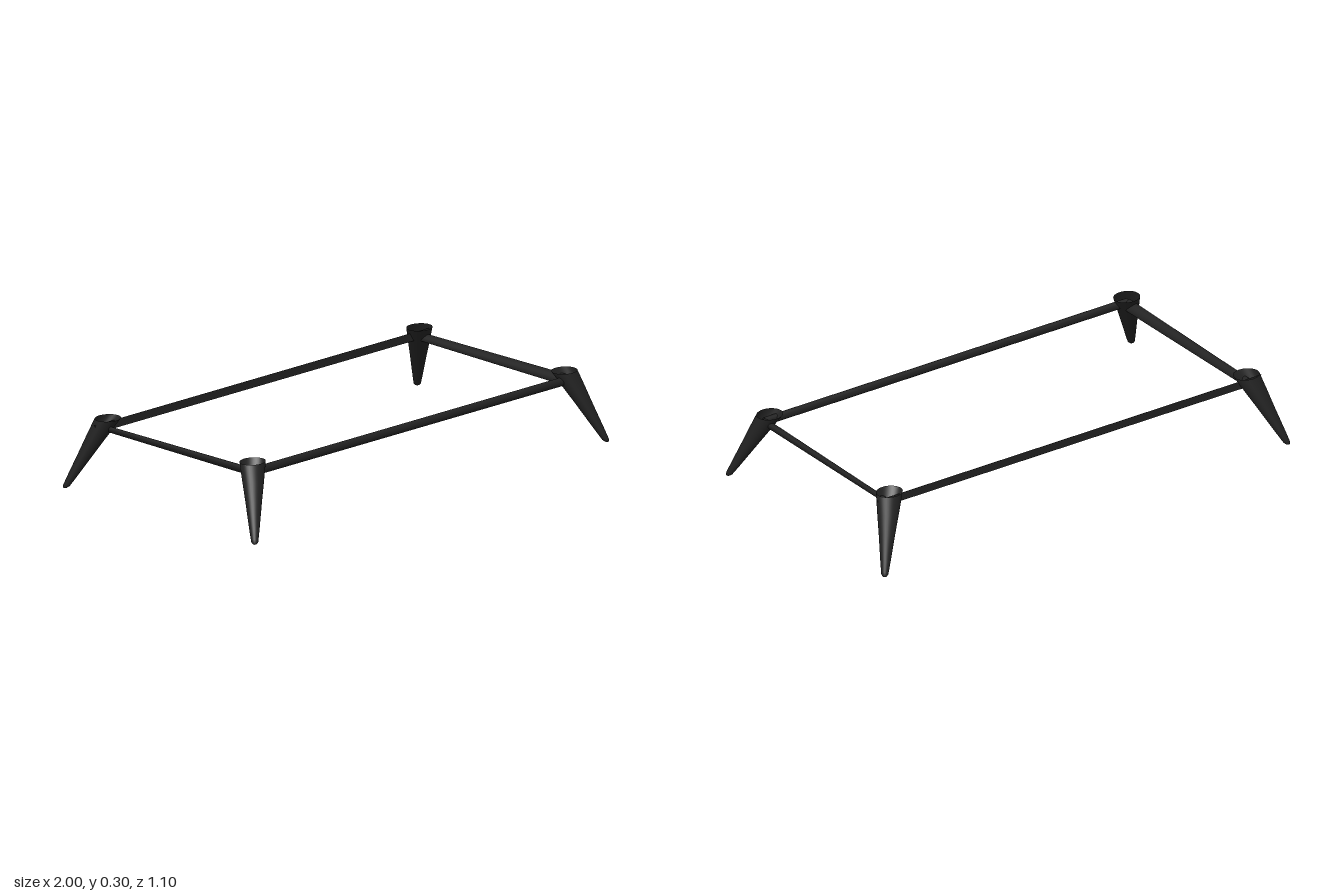
import * as THREE from 'three';
import { mergeVertices } from 'three/addons/utils/BufferGeometryUtils.js';

const dark = new THREE.MeshStandardMaterial({ color: 0x222222, side: THREE.DoubleSide });

// Hollow tapered leg: a round-footed lathe, sheared outwards so its rim stays level
function makeLeg(sx, sz) {
  const profile = [
    [0, 0.003], [0.008, 0.006], [0.014, 0.013], [0.016, 0.025], [0.021, 0.06],
    [0.034, 0.16], [0.044, 0.23], [0.053, 0.3],
  ].map(([r, y]) => new THREE.Vector2(r, y));
  let geo = new THREE.LatheGeometry(profile, 32);
  geo.deleteAttribute('uv');
  geo.deleteAttribute('normal');
  geo = mergeVertices(geo);
  const p = geo.attributes.position;
  for (let i = 0; i < p.count; i++) {
    const t = (p.getY(i) - 0.02) / 0.28;
    p.setX(i, p.getX(i) * (1 + 0.06 * t) + sx * THREE.MathUtils.lerp(0.984, 0.876, t));
    p.setZ(i, p.getZ(i) * (1 - 0.08 * t) + sz * THREE.MathUtils.lerp(0.533, 0.412, t));
  }
  geo.computeVertexNormals();
  return new THREE.Mesh(geo, dark);
}

export function createModel() {
  const model = new THREE.Group();
  const add = (name, mesh) => {
    mesh.name = name;
    model.add(mesh);
    return mesh;
  };

  // Four splayed legs
  for (const sx of [-1, 1])
    for (const sz of [-1, 1])
      add((sz > 0 ? 'front' : 'back') + (sx > 0 ? 'Left' : 'Right') + 'Leg', makeLeg(sx, sz));

  // Side rails: flattened rods, tilted and thinner towards the back
  for (const sx of [-1, 1]) {
    const geo = new THREE.CylinderGeometry(1.15, 0.85, 0.85, 24);
    geo.scale(0.021, 1, 0.0125);
    geo.rotateX(Math.PI / 2);
    geo.rotateZ(sx * Math.PI / 4);
    geo.translate(sx * 0.885, 0.258, 0.002);
    add(sx > 0 ? 'leftRail' : 'rightRail', new THREE.Mesh(geo, dark));
  }

  // Front rail: oval rod
  const front = new THREE.CylinderGeometry(1, 1, 1.78, 24);
  front.rotateZ(Math.PI / 2);
  front.scale(1, 0.018, 0.0135);
  front.translate(0, 0.263, 0.43);
  add('frontRail', new THREE.Mesh(front, dark));

  // Back rail: thin upright strip with slanted ends
  const strip = new THREE.Shape([[-0.92, 0.246], [0.92, 0.246], [0.945, 0.281], [-0.945, 0.281]]
    .map(([x, y]) => new THREE.Vector2(x, y)));
  const back = new THREE.ExtrudeGeometry(strip, { depth: 0.001, bevelEnabled: false });
  back.translate(0, 0, -0.42);
  add('backRail', new THREE.Mesh(back, dark));

  return model;
}
